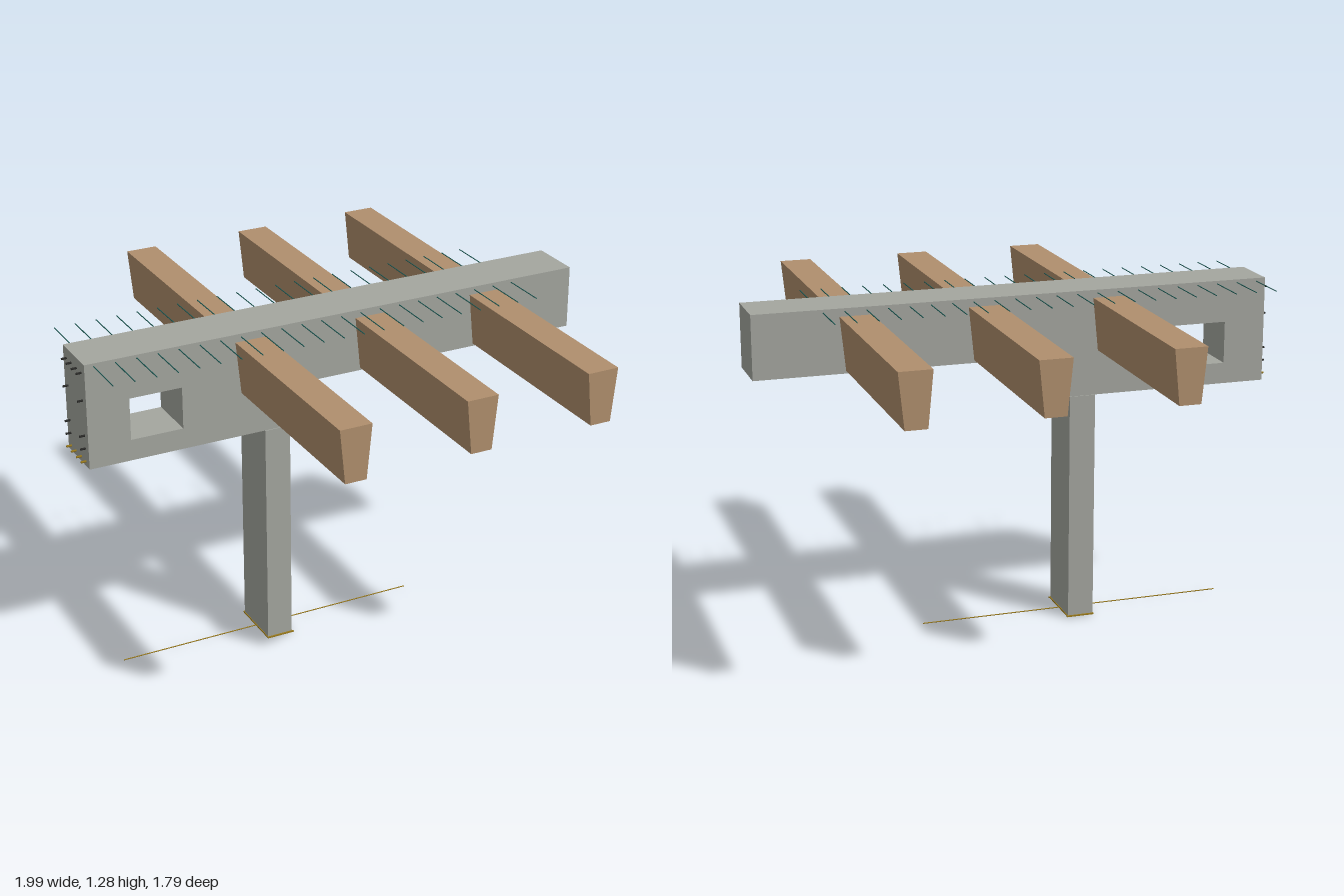
import * as THREE from 'three';

const material = (name, color, extra = {}) => {
  const m = new THREE.MeshStandardMaterial({ color, ...extra });
  m.name = name;
  return m;
};

// Extrude an outline in x/y symmetrically about z = 0
function prism(points, depth, hole) {
  const shape = new THREE.Shape(points.map(p => new THREE.Vector2(...p)));
  if (hole) shape.holes.push(new THREE.Path(hole.map(p => new THREE.Vector2(...p))));
  const g = new THREE.ExtrudeGeometry(shape, { depth, bevelEnabled: false });
  return g.translate(0, 0, -depth / 2);
}

export function createModel() {
  const group = new THREE.Group();
  const concrete = material('concrete', 0xa4a69f);
  const timber = material('timber', 0xb08f6d);
  const teal = material('teal steel', 0x1f5f5a);
  const dark = material('dark steel', 0x2a2a28);
  const ochre = material('ochre steel', 0x9a7a1c);

  const add = (name, geometry, mat, x = 0, y = 0, z = 0) => {
    const mesh = new THREE.Mesh(geometry, mat);
    mesh.name = name;
    mesh.position.set(x, y, z);
    group.add(mesh);
    return mesh;
  };

  // Stepped cross beam with a rectangular service opening
  add('beam', prism(
    [[-0.97, 0.88], [-0.19, 0.88], [-0.19, 1.04], [1, 1.04], [1, 1.28], [-0.97, 1.28]], 0.2,
    [[-0.81, 0.96], [-0.81, 1.12], [-0.61, 1.12], [-0.61, 0.96]]), concrete);

  // Column, a touch wider than the beam
  add('column', new THREE.BoxGeometry(0.1, 0.88, 0.208), concrete, -0.24, 0.44, 0);

  // Tapered joists crossing the beam
  const joist = prism([[-0.04, 1.05], [0.04, 1.05], [0.06, 1.25], [-0.06, 1.25]], 1.79);
  for (const x of [-0.34, 0.14, 0.62]) add('joist', joist, timber, x);

  // Row of thin bars through the top of the beam
  const crossBar = new THREE.CylinderGeometry(0.002, 0.002, 0.555, 6).rotateX(Math.PI / 2);
  for (let i = 0; i < 22; i++) add('crossBar', crossBar, teal, -0.935 + i * 0.0797, 1.268, 0);

  // Starter bars projecting from the deep end of the beam
  const starter = new THREE.CylinderGeometry(0.004, 0.004, 0.04, 6).rotateZ(Math.PI / 2);
  for (const y of [0.9, 0.95, 1.0, 1.135, 1.24])
    for (const z of y === 0.9 || y === 1.24 ? [-0.07, -0.025, 0.025, 0.07] : [-0.07, 0.07])
      add('starterBar', starter, y === 0.9 ? ochre : dark, -0.97, y, z);

  // Long bar through the column foot
  add('footBar', new THREE.CylinderGeometry(0.002, 0.002, 1.2, 6).rotateZ(Math.PI / 2),
    ochre, -0.24, 0.003, 0);

  // Thin tie around the column foot
  for (const side of [-1, 1]) {
    add('footTie', new THREE.BoxGeometry(0.106, 0.005, 0.006), ochre, -0.237, 0.005, side * 0.107);
    add('footTie', new THREE.BoxGeometry(0.004, 0.005, 0.22), ochre, -0.24 + side * 0.051, 0.005, 0);
  }
  return group;
}
